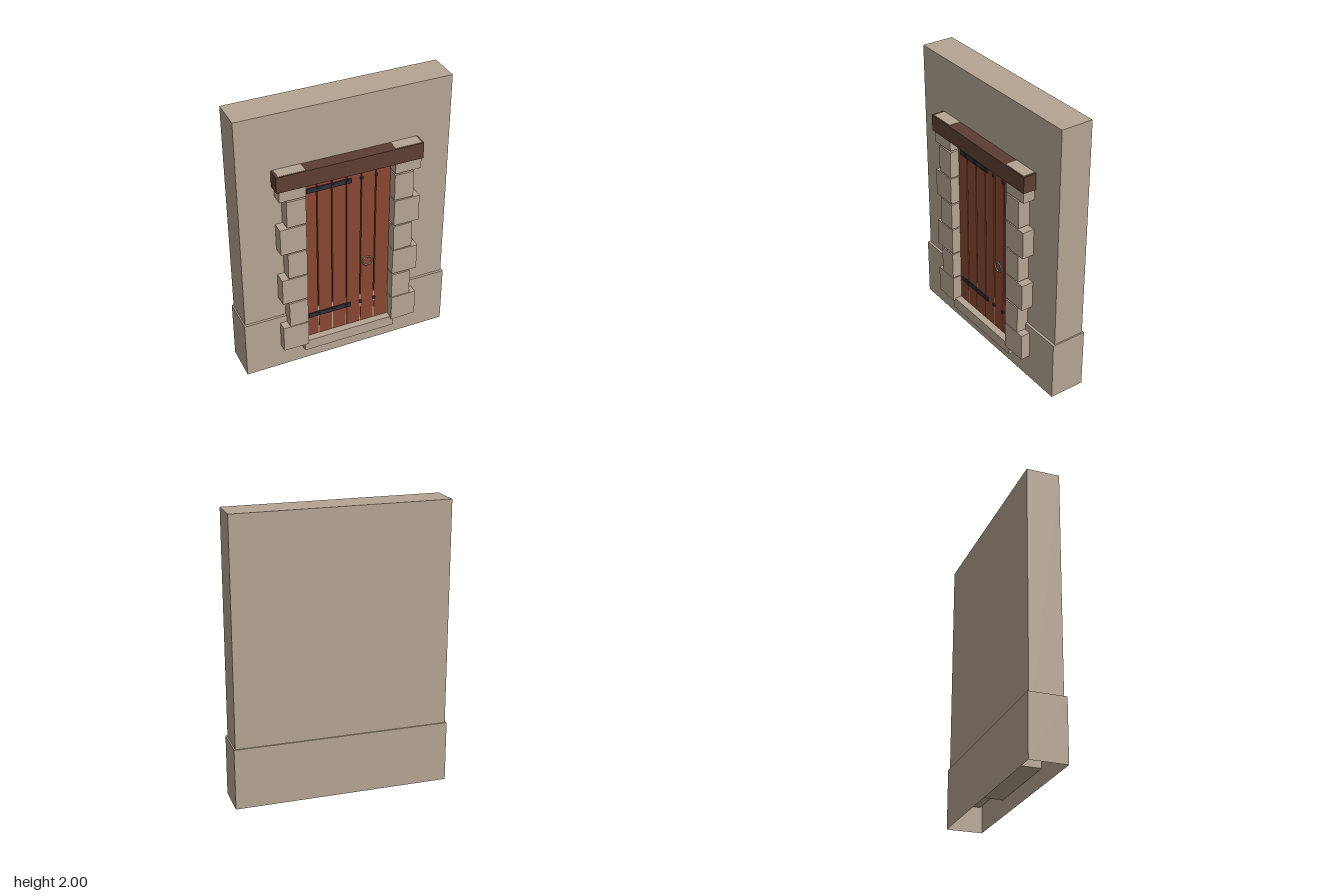
import * as THREE from 'three';

const mat = (name, color, side = THREE.FrontSide) => {
  const m = new THREE.MeshStandardMaterial({ color, side });
  m.name = name;
  return m;
};

export function createModel() {
  const group = new THREE.Group();
  group.name = 'doorway';
  const stone = mat('stone', 0xb5a491, THREE.DoubleSide);
  const doorWood = mat('redWood', 0x8a4632);
  const beamWood = mat('darkWood', 0x5c3d31);
  const iron = mat('iron', 0x2e2e36);
  const ringMetal = mat('ringMetal', 0xa3a393);

  // Box given by its extents on each axis
  const block = (name, material, [x0, x1], [y0, y1], [z0, z1], parent = group) => {
    const mesh = new THREE.Mesh(new THREE.BoxGeometry(x1 - x0, y1 - y0, z1 - z0), material);
    mesh.position.set((x0 + x1) / 2, (y0 + y1) / 2, (z0 + z1) / 2);
    mesh.name = name;
    parent.add(mesh);
    return mesh;
  };

  // Wall, and its plinth with an open underside
  block('wall', stone, [-0.745, 0.745], [0.18, 2], [-0.155, 0.072]);
  const plinth = block('plinth', stone, [-0.755, 0.755], [0, 0.43], [-0.165, 0.09]);
  const faces = Array.from(plinth.geometry.index.array);
  faces.splice(18, 6);
  plinth.geometry.setIndex(faces);
  plinth.geometry.clearGroups();

  // Sill and lintel
  block('sill', stone, [-0.34, 0.34], [0.115, 0.195], [-0.1, 0.143]);
  const lintel = block('lintel', beamWood, [-0.517, 0.51], [1.488, 1.604], [0.04, 0.165]);
  lintel.rotation.z = -0.001;

  // Long and short stones up both sides, each set a little unevenly
  const rows = [0.18, 0.382, 0.589, 0.793, 0.998, 1.203, 1.41];
  const jambs = new THREE.Group();
  jambs.name = 'jambStones';
  group.add(jambs);
  for (const side of [-1, 1]) {
    rows.forEach((y, i) => {
      const outer = i % 2 ? 0.451 : 0.499;
      const xs = side < 0 ? [-outer, -0.317] : [0.314, outer];
      const s = block('jambStone', stone, xs, [y, y + 0.196], [0, 0.157], jambs);
      s.rotation.z = 0.012 * Math.sin(i * 2.3 + side);
      s.rotation.y = 0.012 * Math.sin(i * 1.7 + side * 2);
    });
  }

  // Six planks with narrow gaps
  const seams = [-0.318, -0.215, -0.11, -0.005, 0.1, 0.205, 0.314];
  const door = new THREE.Group();
  door.name = 'door';
  group.add(door);
  for (let i = 0; i < 6; i++) {
    block('plank', doorWood, [seams[i] + 0.004, seams[i + 1] - 0.004],
      [0.195, 1.5], [0.03, 0.092], door);
  }

  // Hinge straps and rows of studs
  for (const y of [0.373, 1.402]) {
    block('hingeStrap', iron, [-0.286, 0.028], [y - 0.017, y + 0.017], [0.085, 0.1], door);
    for (const x of seams.slice(1, 6)) {
      block('stud', iron, [x - 0.009, x + 0.009], [y - 0.009, y + 0.009], [0.085, 0.105], door);
    }
  }

  // Pull ring
  const ring = new THREE.Mesh(new THREE.TorusGeometry(0.034, 0.005, 8, 24), ringMetal);
  ring.name = 'pullRing';
  ring.position.set(0.149, 0.716, 0.098);
  door.add(ring);

  return group;
}
